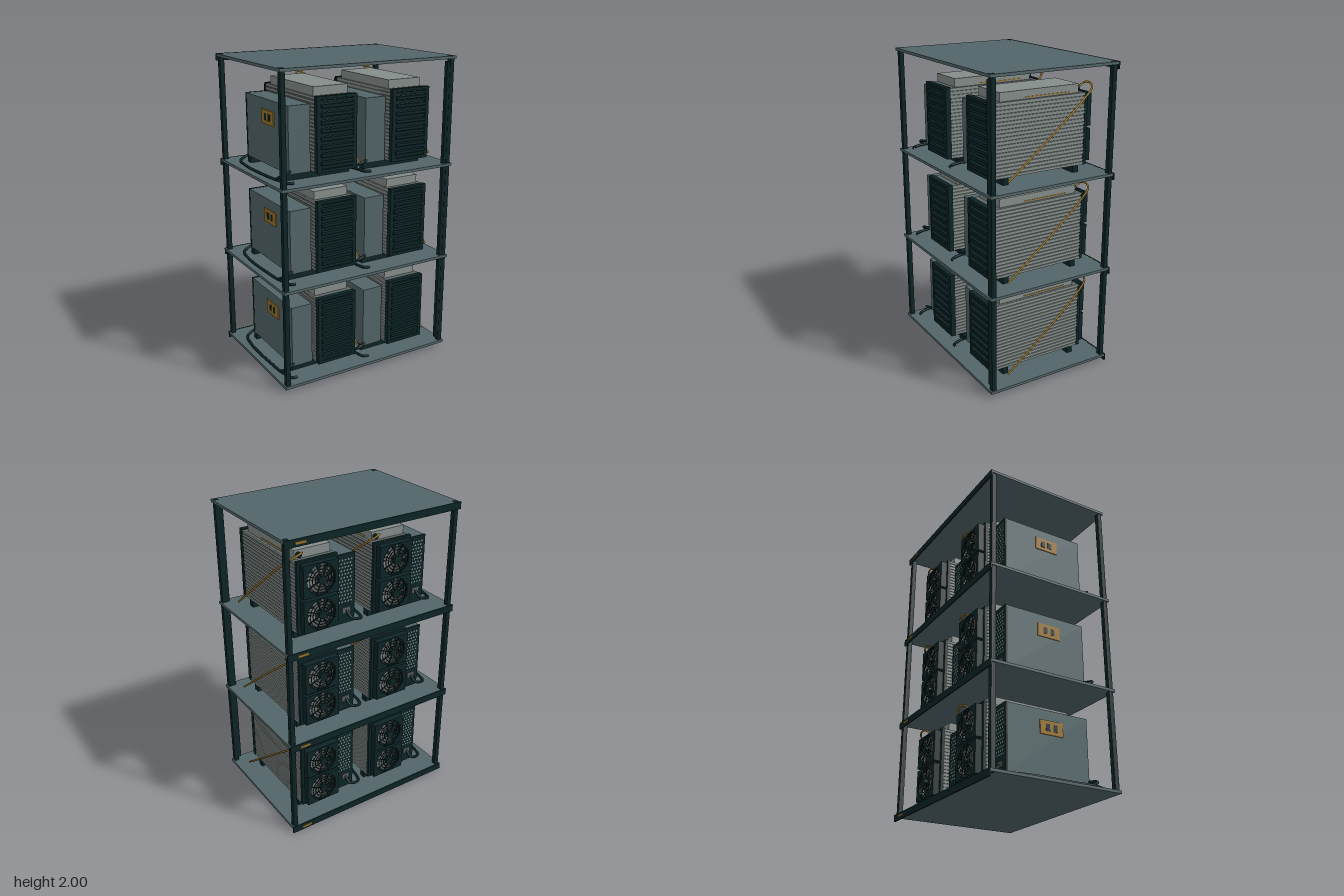
import * as THREE from 'three';
import { mergeGeometries } from 'three/addons/utils/BufferGeometryUtils.js';

const mat = (name, color) => {
  const m = new THREE.MeshStandardMaterial({ color });
  m.name = name;
  return m;
};

export function createModel() {
  const dark = mat('dark metal', 0x0d2426);
  const slate = mat('slate panel', 0x526568);
  const grey = mat('light aluminium', 0x858d8b);
  const core = mat('fin shadow grey', 0x5a6462);
  const brass = mat('brass', 0x9a7326);
  const blade = mat('fan grey', 0x5c5f5f);

  // box geometry from its lower and upper bounds
  const box = (x0, x1, y0, y1, z0, z1) =>
    new THREE.BoxGeometry(x1 - x0, y1 - y0, z1 - z0)
      .translate((x0 + x1) / 2, (y0 + y1) / 2, (z0 + z1) / 2);
  const add = (parent, name, material, ...geos) => {
    const mesh = new THREE.Mesh(geos.length > 1 ? mergeGeometries(geos) : geos[0], material);
    mesh.name = name;
    parent.add(mesh);
    return mesh;
  };
  const tube = (pts, r, tension = 0.5) => new THREE.TubeGeometry(
    new THREE.CatmullRomCurve3(pts.map(p => new THREE.Vector3(...p)), false, 'centripetal', tension),
    64, r, 8);

  const model = new THREE.Group();
  model.name = 'equipmentRack';

  // ---- rack ----
  const rack = new THREE.Group();
  rack.name = 'rackFrame';
  model.add(rack);
  for (const top of [0.044, 0.679, 1.314, 1.999]) {
    add(rack, 'shelf', slate, box(-0.615, 0.615, top - 0.018, top, -0.436, 0.442));
    add(rack, 'rearRail', dark, box(-0.617, 0.617, top - 0.044, top + 0.001, -0.444, -0.435));
    add(rack, 'railLabel', brass, box(0.48, 0.55, top - 0.028, top - 0.014, -0.449, -0.443));
  }
  for (const x of [-0.592, 0.592])
    for (const z of [-0.417, 0.417])
      add(rack, 'post', dark, box(x - 0.015, x + 0.015, 0.026, 2, z - 0.015, z + 0.015));
  add(rack, 'cableConduit', dark, box(0.556, 0.578, 0.07, 1.965, 0.404, 0.43));

  // ---- one cooled machine, standing on the lowest shelf ----
  const unit = new THREE.Group();
  unit.name = 'machine';

  // cross feet
  add(unit, 'feet', dark,
    box(0.04, 0.473, 0.044, 0.088, 0.235, 0.275),
    box(0.04, 0.473, 0.044, 0.088, -0.27, -0.23));

  // electronics case with perforated back
  add(unit, 'electronicsCase', slate, box(0.04, 0.184, 0.087, 0.495, -0.26, 0.302));
  add(unit, 'caseBackPanel', dark, box(0.038, 0.186, 0.085, 0.497, -0.272, -0.259));
  const holes = [];
  for (let r = 0; r < 13; r++)
    for (let c = 0; c < 5; c++)
      holes.push(new THREE.CircleGeometry(0.0065, 6).rotateY(Math.PI)
        .translate(0.064 + c * 0.022 + (r % 2) * 0.008, 0.19 + r * 0.0225, -0.2735));
  add(unit, 'ventHoles', grey, ...holes);
  add(unit, 'powerInlet', blade, box(0.075, 0.125, 0.115, 0.15, -0.277, -0.271));

  // brass socket plate on the side
  add(unit, 'socketPlate', brass, box(0.034, 0.041, 0.342, 0.43, -0.04, 0.122));
  add(unit, 'sockets', dark,
    box(0.032, 0.036, 0.365, 0.408, 0.0, 0.028),
    box(0.032, 0.036, 0.365, 0.408, 0.052, 0.08));

  // radiator: inset core with a stack of fins
  add(unit, 'radiatorCore', core, box(0.205, 0.466, 0.087, 0.536, -0.305, 0.333));
  const fins = [];
  for (let i = 0; i < 20; i++) {
    const y = 0.087 + i * 0.0228;
    fins.push(box(0.2, 0.472, y, y + 0.0155, -0.305, 0.332));
  }
  add(unit, 'radiatorFins', grey, ...fins);

  // front louvre grille
  add(unit, 'grilleBacking', grey, box(0.205, 0.466, 0.09, 0.535, 0.33, 0.338));
  add(unit, 'grilleFrame', dark,
    box(0.198, 0.224, 0.085, 0.542, 0.328, 0.362),
    box(0.447, 0.474, 0.085, 0.542, 0.328, 0.362),
    box(0.224, 0.447, 0.085, 0.105, 0.328, 0.362),
    box(0.224, 0.447, 0.525, 0.542, 0.328, 0.362));
  const louvres = [];
  for (let i = 0; i < 17; i++) {
    const y = 0.109 + i * 0.0245;
    louvres.push(box(0.224, 0.447, y, y + 0.018, 0.335, i % 2 ? 0.372 : 0.36));
  }
  add(unit, 'louvres', dark, ...louvres);

  // rear shroud and two fans
  add(unit, 'rearShroud', dark, box(0.198, 0.474, 0.085, 0.542, -0.325, -0.304));
  for (const y of [0.424, 0.204]) {
    const fan = new THREE.Group();
    fan.name = 'fan';
    fan.position.set(0.336, y, -0.325);
    fan.rotation.y = Math.PI;
    const frame = new THREE.Shape();
    frame.moveTo(-0.12, -0.102).lineTo(0.12, -0.102).lineTo(0.12, 0.102).lineTo(-0.12, 0.102).closePath();
    frame.holes.push(new THREE.Path().absarc(0, 0, 0.096, 0, Math.PI * 2, true));
    add(fan, 'fanFrame', dark,
      new THREE.ExtrudeGeometry(frame, { depth: 0.042, bevelEnabled: false, curveSegments: 20 }));
    const blades = [];
    for (let i = 0; i < 9; i++)
      blades.push(new THREE.BoxGeometry(0.068, 0.042, 0.004).rotateX(0.5)
        .translate(0.056, 0, 0.024).rotateZ(i * Math.PI * 2 / 9));
    add(fan, 'fanBlades', blade, ...blades);
    add(fan, 'fanHub', dark, new THREE.CylinderGeometry(0.026, 0.026, 0.055, 20)
      .rotateX(Math.PI / 2).translate(0, 0, 0.029));
    const guard = [0.045, 0.064, 0.083].map(r =>
      new THREE.TorusGeometry(r, 0.0025, 5, 32).translate(0, 0, 0.047));
    for (let i = 0; i < 4; i++)
      guard.push(new THREE.BoxGeometry(0.2, 0.005, 0.005).translate(0, 0, 0.047)
        .rotateZ(Math.PI / 8 + i * Math.PI / 4));
    add(fan, 'fanGuard', dark, ...guard);
    unit.add(fan);
  }

  // coolant tank with cap and pipe
  add(unit, 'coolantTank', grey, box(0.214, 0.453, 0.535, 0.59, -0.268, 0.287));
  add(unit, 'tankCap', dark, new THREE.CylinderGeometry(0.017, 0.017, 0.018, 16)
    .rotateX(Math.PI / 2).translate(0.43, 0.562, -0.276));
  add(unit, 'tankTrim', brass, box(0.452, 0.456, 0.544, 0.55, -0.2, 0.11));
  add(unit, 'coolantPipe', brass, tube([
    [0.43, 0.562, -0.27], [0.43, 0.572, -0.295], [0.435, 0.592, -0.325], [0.465, 0.592, -0.342],
    [0.505, 0.57, -0.33], [0.533, 0.5, -0.24], [0.545, 0.4, -0.113],
    [0.549, 0.24, 0.088], [0.549, 0.085, 0.285]], 0.0065));

  // power cable along the shelf
  add(unit, 'powerCable', dark, tube([
    [0.1, 0.13, -0.275], [0.085, 0.09, -0.31], [0.0, 0.06, -0.29], [-0.035, 0.057, -0.15],
    [-0.035, 0.057, 0.15], [-0.028, 0.062, 0.3], [0.0, 0.058, 0.375], [0.03, 0.058, 0.38]], 0.009));
  add(unit, 'cableHook', dark, tube([
    [-0.033, 0.062, 0.27], [-0.025, 0.085, 0.31], [0.005, 0.1, 0.32], [0.05, 0.104, 0.298]], 0.009));

  // ---- two machines on each of three shelves ----
  for (let level = 0; level < 3; level++)
    for (let column = 0; column < 2; column++) {
      const copy = unit.clone();
      copy.position.set(-0.535 * column, 0.635 * level, 0);
      model.add(copy);
    }
  return model;
}
